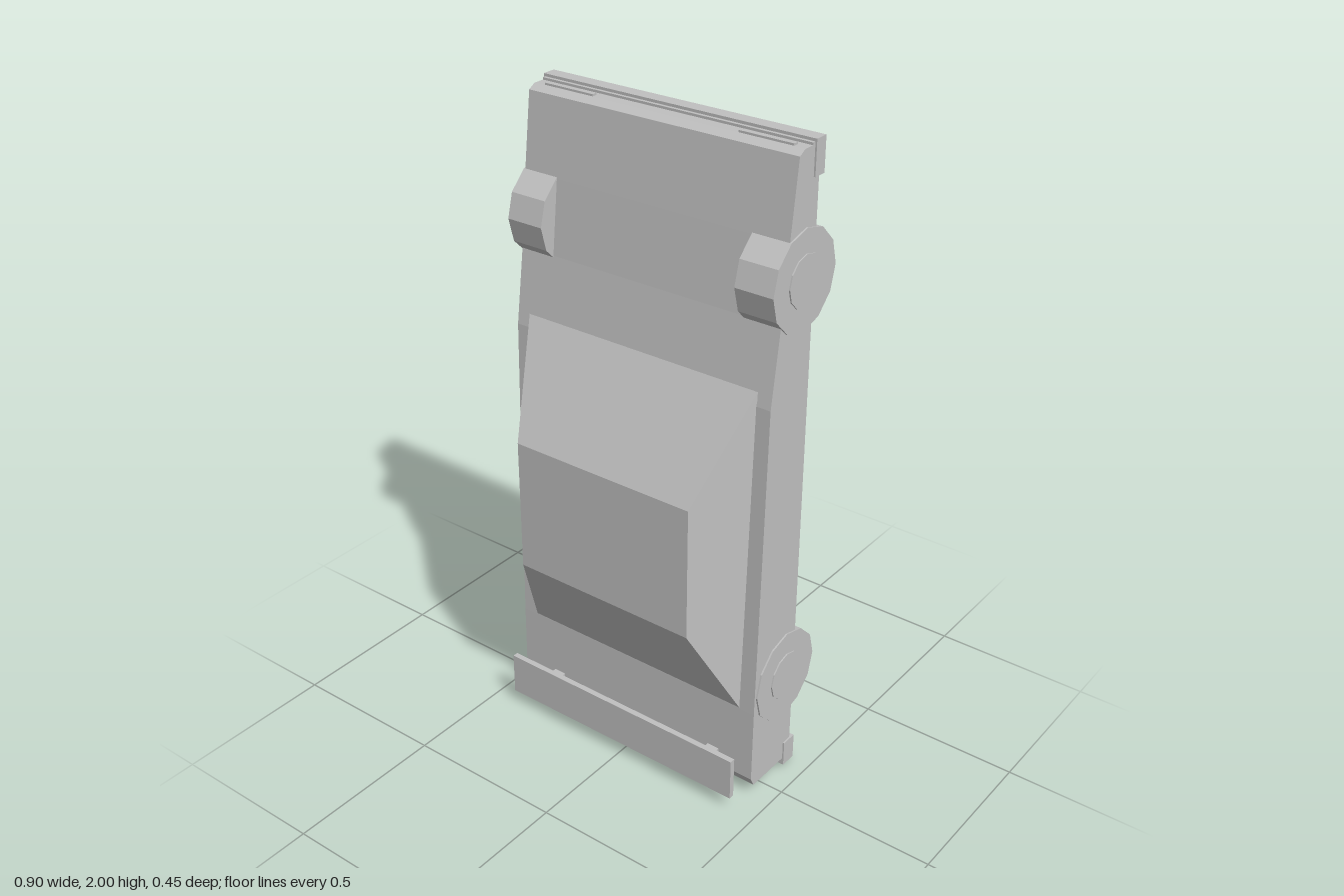
import * as THREE from 'three';

export function createModel() {
  const car = new THREE.Group();
  car.name = 'car';
  const grey = new THREE.MeshStandardMaterial({ color: 0xc0c0c0, flatShading: true });
  grey.name = 'plain grey';

  const add = (name, geometry) => {
    const mesh = new THREE.Mesh(geometry, grey);
    mesh.name = name;
    car.add(mesh);
    return mesh;
  };
  // Box given by its lower and upper limits on each axis
  const box = (name, x0, x1, y0, y1, z0, z1) =>
    add(name, new THREE.BoxGeometry(x1 - x0, y1 - y0, z1 - z0))
      .position.set((x0 + x1) / 2, (y0 + y1) / 2, (z0 + z1) / 2);

  // Body: side profile as [z, y], extruded across the width; the nose points up
  const profile = [
    [-0.125, 0.04], [0.063, 0.04], [0.078, 0.07], [0.076, 0.31], [0.053, 1.3],
    [0.02, 1.53], [-0.004, 1.75], [-0.032, 1.972], [-0.055, 1.985], [-0.125, 1.985],
  ];
  const shape = new THREE.Shape(profile.map(([z, y]) => new THREE.Vector2(-z, y)));
  const body = new THREE.ExtrudeGeometry(shape, { depth: 0.88, bevelEnabled: false });
  body.translate(0, 0, -0.44).rotateY(Math.PI / 2);
  add('body', body);

  // Cabin: a box whose outer face is drawn in to form the roof
  const cabin = new THREE.BoxGeometry(2, 2, 2);
  const p = cabin.attributes.position;
  for (let i = 0; i < p.count; i++) {
    const sx = p.getX(i), nose = p.getY(i) > 0, roof = p.getZ(i) > 0;
    if (roof) p.setXYZ(i, sx * 0.303, nose ? 1.025 : 0.61, 0.225);
    else p.setXYZ(i, sx * (nose ? 0.396 : 0.389), nose ? 1.342 : 0.312, nose ? 0.05 : 0.075);
  }
  cabin.computeVertexNormals();
  add('cabin', cabin);

  // Wheels with raised hub discs
  for (const side of [-1, 1]) {
    for (const [end, y] of [['front', 1.627], ['rear', 0.367]]) {
      const wheel = new THREE.CylinderGeometry(0.146, 0.146, 0.12, 12).rotateZ(Math.PI / 2);
      add(end + 'Wheel', wheel).position.set(side * 0.385, y, -0.077);
      const hub = new THREE.CylinderGeometry(0.076, 0.076, 0.01, 12).rotateZ(Math.PI / 2);
      add(end + 'Hub', hub).position.set(side * 0.444, y, -0.077);
    }
  }

  // Bumpers and nose trim
  box('frontBumper', -0.445, 0.445, 1.9, 2, -0.142, -0.1);
  box('noseTrim', -0.44, 0.44, 1.97, 1.992, -0.1, -0.09);
  box('rearBumper', -0.445, 0.445, 0.017, 0.1, -0.142, -0.09);

  // Lights, rear panel and number plate
  for (const s of [-1, 1]) {
    const pair = (a, b) => (s > 0 ? [a, b] : [-b, -a]);
    box('headlight', ...pair(0.237, 0.405), 1.982, 1.991, -0.075, -0.058);
    box('tailLight', ...pair(0.22, 0.42), 0.022, 0.042, -0.022, 0.025);
    box('spoilerPost', ...pair(0.28, 0.32), 0.09, 0.127, 0.07, 0.15);
  }
  box('rearPanel', -0.165, 0.165, 0.025, 0.042, -0.02, 0.022);
  box('numberPlate', -0.072, 0.072, 0, 0.02, -0.128, -0.085);

  // Spoiler blade
  box('spoiler', -0.422, 0.422, 0.045, 0.182, 0.143, 0.161);

  return car;
}
